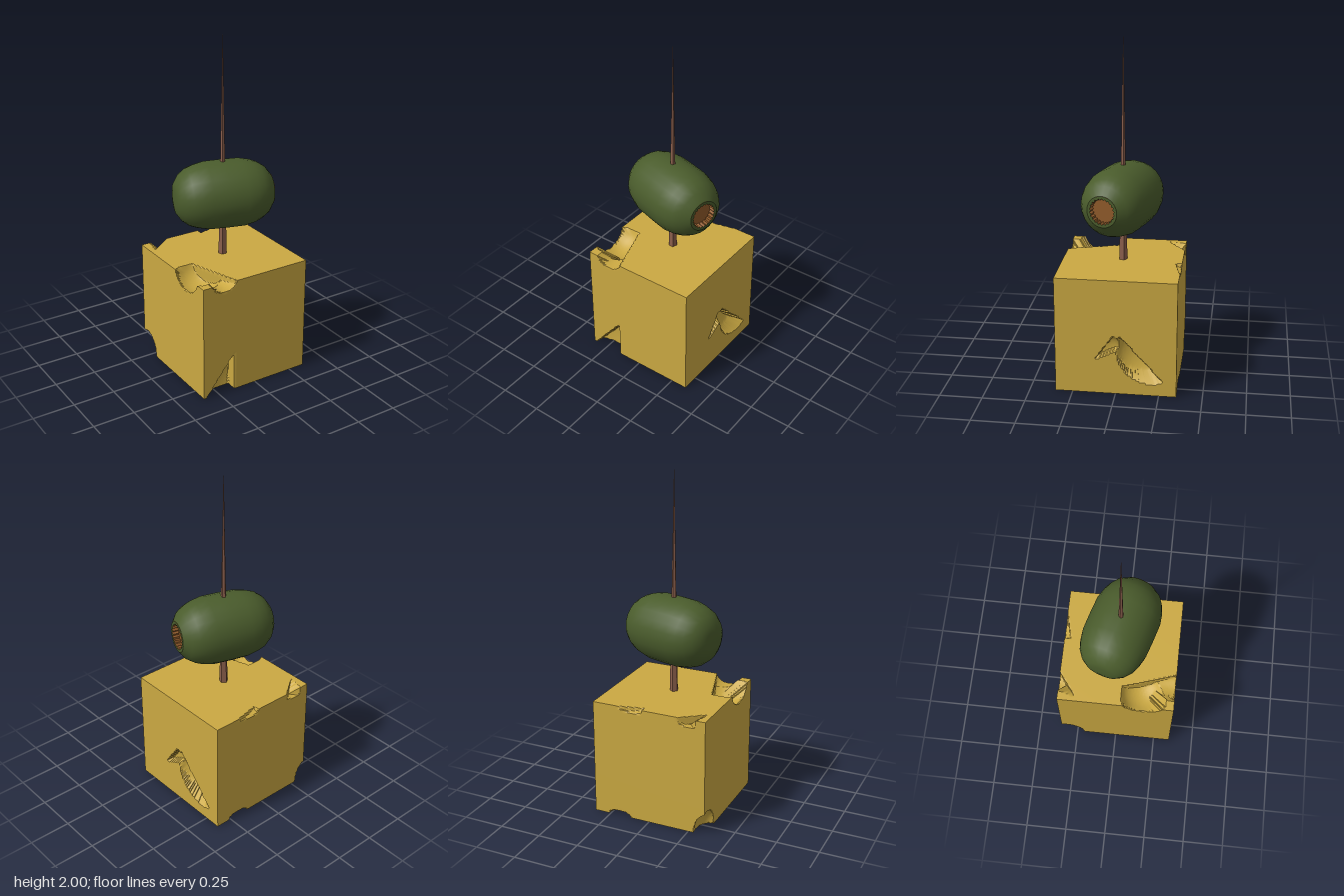
import * as THREE from 'three';
import { toCreasedNormals } from 'three/addons/utils/BufferGeometryUtils.js';

const mat = (color) => new THREE.MeshStandardMaterial({ color, side: THREE.DoubleSide });

// Bites in the cheese: ellipsoid centre c and radii r, trimmed by planes [nx, ny, nz, d]
const bites = [
  // top edge, front right corner
  { c: [-0.27, 0.73, 0.165], r: [0.15, 0.13, 0.14], planes: [[0.953, 0, -0.303, -0.23]] },
  { c: [-0.205, 0.71, 0.36], r: [0.08, 0.06, 0.26], planes: [[0.953, 0, -0.303, -0.23]] },
  // top edge, back
  { c: [-0.26, 0.71, -0.33], r: [0.1, 0.06, 0.12], planes: [[0.6, 0, 0.8, -0.388], [-0.962, 0, -0.275, 0.375]] },
  { c: [0.1, 0.71, -0.35], r: [0.12, 0.035, 0.05], planes: [[-1, 0, 0, -0.04], [0.22, 0, 0.975, -0.297]] },
  // front bottom corner
  { c: [-0.19, 0.05, 0.36], r: [0.18, 0.25, 0.08], planes: [[1, 0, 0, -0.145], [-0.786, 0.618, 0, 0.259]] },
  // hole in the left face
  { c: [0.35, 0.281, -0.211], r: [0.1, 0.205, 0.205], planes: [[0, 0.68, -0.734, 0.256]] },
  { c: [0.35, 0.27, 0.04], r: [0.04, 0.09, 0.09], planes: [[0, 0.581, 0.814, 0.22], [0, -0.894, -0.447, -0.241]] },
  // bottom edges
  { c: [-0.35, 0, -0.31], r: [0.07, 0.13, 0.1], planes: [] },
  { c: [0.19, 0, -0.35], r: [0.07, 0.03, 0.06], planes: [] },
  { c: [-0.31, 0, -0.1], r: [0.02, 0.02, 0.1], planes: [] },
];

function bitten(p) {
  return bites.some(({ c, r, planes }) => {
    const q = ((p.x - c[0]) / r[0]) ** 2 + ((p.y - c[1]) / r[1]) ** 2 + ((p.z - c[2]) / r[2]) ** 2;
    return q < 1 && planes.every(([x, y, z, d]) => p.x * x + p.y * y + p.z * z < d);
  });
}

// Cube whose surface is pulled toward its middle wherever it is bitten
function cheeseGeometry() {
  const geo = new THREE.BoxGeometry(0.7, 0.7, 0.7, 72, 72, 72).translate(0, 0.35, 0);
  const middle = new THREE.Vector3(0, 0.35, 0);
  const pos = geo.attributes.position;
  const surface = new THREE.Vector3();
  const p = new THREE.Vector3();
  const inside = (s) => bitten(p.lerpVectors(middle, surface, s));
  for (let i = 0; i < pos.count; i++) {
    surface.fromBufferAttribute(pos, i);
    if (!inside(1)) continue;
    let hi = 1;
    while (hi > 0.4 && inside(hi - 0.01)) hi -= 0.01;
    let lo = hi - 0.01;
    for (let k = 0; k < 10; k++) {
      const mid = (lo + hi) / 2;
      if (inside(mid)) hi = mid;
      else lo = mid;
    }
    p.lerpVectors(middle, surface, lo);
    pos.setXYZ(i, p.x, p.y, p.z);
  }
  return toCreasedNormals(geo, 0.6);
}

function createOlive() {
  const olive = new THREE.Group();
  olive.name = 'olive';
  const skin = mat(0x4a5c2c);
  const filling = mat(0x8f5a2a);

  // Body profile as [radius, distance along the axis]
  const profile = [
    [0, -0.287], [0.05, -0.286], [0.092, -0.279], [0.135, -0.25], [0.167, -0.208], [0.184, -0.16],
    [0.197, -0.1], [0.199, 0], [0.198, 0.105], [0.184, 0.17], [0.167, 0.212], [0.14, 0.252], [0.09, 0.288],
  ].map(([r, y]) => new THREE.Vector2(r, y));
  const body = new THREE.Mesh(new THREE.LatheGeometry(profile, 24), skin);
  body.name = 'oliveBody';

  // Rim with a toothed opening
  const rim = new THREE.Shape().absarc(0, 0, 0.091, 0, Math.PI * 2);
  const teeth = [];
  for (let i = 0; i < 44; i++) {
    const a = (i / 44) * Math.PI * 2;
    const r = i % 2 ? 0.068 : 0.077;
    teeth.push(new THREE.Vector2(r * Math.cos(a), r * Math.sin(a)));
  }
  rim.holes.push(new THREE.Path(teeth));
  const ringGeo = new THREE.ExtrudeGeometry(rim, { depth: 0.04, bevelEnabled: false, curveSegments: 24 });
  ringGeo.rotateX(-Math.PI / 2).translate(0, 0.248, 0);
  const ring = new THREE.Mesh(ringGeo, [skin, filling]);
  ring.name = 'oliveOpening';

  // Filling at the bottom of the opening
  const floor = new THREE.Mesh(new THREE.CircleGeometry(0.08, 24).rotateX(-Math.PI / 2).translate(0, 0.25, 0), filling);
  floor.name = 'oliveFilling';

  const axis = new THREE.Group();
  axis.name = 'oliveAxis';
  axis.add(body, ring, floor);
  axis.rotation.z = -Math.PI / 2;
  olive.add(axis);
  olive.rotation.y = THREE.MathUtils.degToRad(-17);
  olive.position.y = 1.075;
  return olive;
}

export function createModel() {
  const model = new THREE.Group();
  model.name = 'cheeseAndOlivePick';

  const cheese = new THREE.Mesh(cheeseGeometry(), mat(0xcba942));
  cheese.name = 'cheese';

  // Five-sided wooden pick, tapering to a point
  const wood = mat(0x8b5f4c);
  wood.flatShading = true;
  const pick = new THREE.Mesh(new THREE.CylinderGeometry(0.001, 0.027, 1.4, 5).rotateY(Math.PI), wood);
  pick.name = 'pick';
  pick.position.y = 1.3;

  model.add(cheese, createOlive(), pick);
  return model;
}
